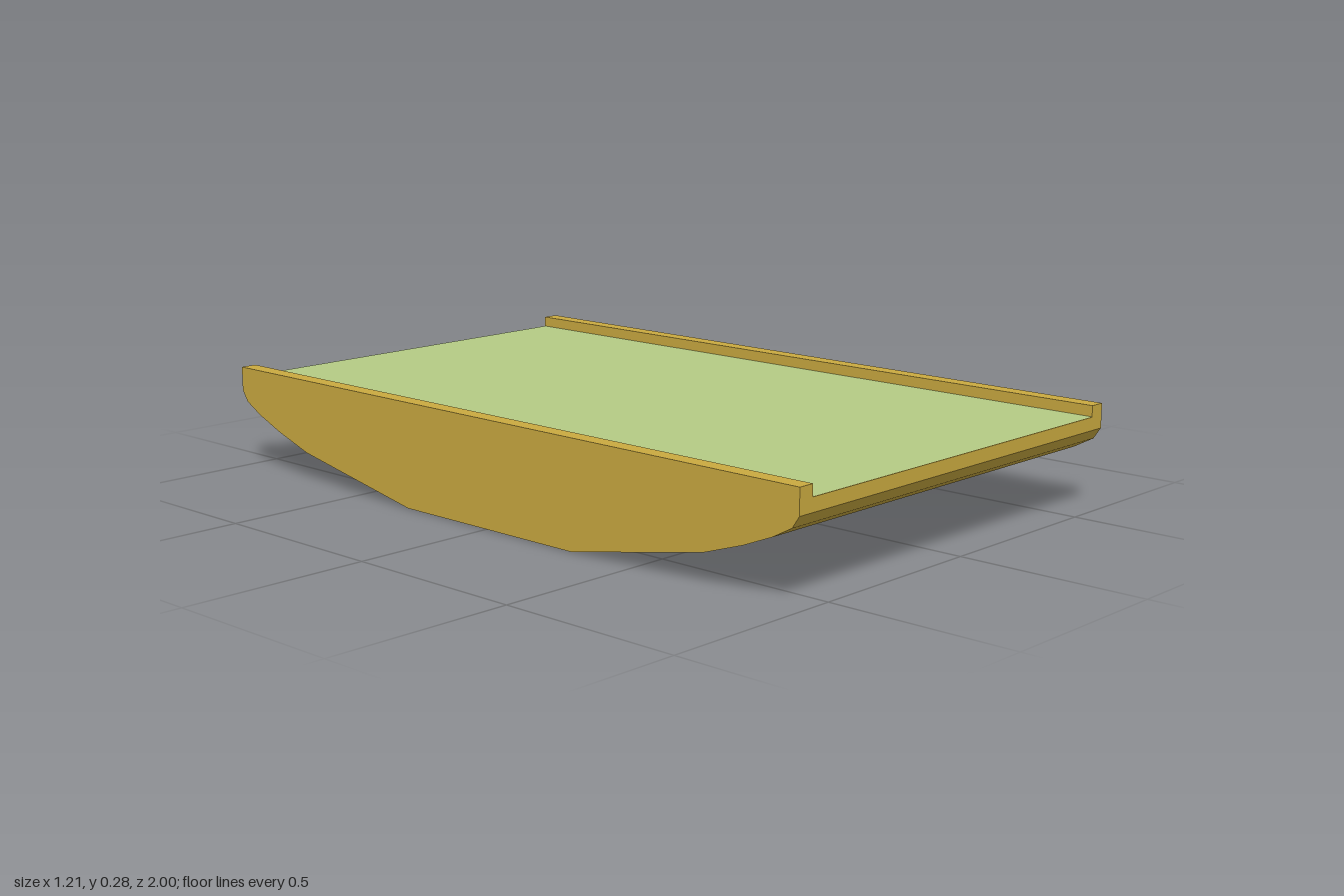
import * as THREE from 'three';

const HALF_WIDTH = 0.605, RAIL = 0.045, DECK_Y = 0.25, TOP_Y = 0.28;

export function createModel() {
  const model = new THREE.Group();
  const gold = new THREE.MeshStandardMaterial({ color: 0xcaaa40, flatShading: true });
  const green = new THREE.MeshStandardMaterial({ color: 0xb5cb84, flatShading: true });

  const add = (name, geometry, material, x = 0, y = 0) => {
    const mesh = new THREE.Mesh(geometry, material);
    mesh.name = name;
    mesh.position.set(x, y, 0);
    model.add(mesh);
  };

  // Hull: half profile (z, y) mirrored front to back, extruded across the width
  const half = [[0.3, 0], [0.72, 0.08], [0.84, 0.12], [0.925, 0.155], [0.98, 0.185], [1, 0.215], [1, DECK_Y]];
  const profile = [...half, ...half.map(([z, y]) => [-z, y]).reverse()];
  const shape = new THREE.Shape(profile.map(([z, y]) => new THREE.Vector2(z, y)));
  const hull = new THREE.ExtrudeGeometry(shape, { depth: 2 * HALF_WIDTH, bevelEnabled: false });
  hull.translate(0, 0, -HALF_WIDTH).rotateY(-Math.PI / 2);
  add('hull', hull, gold);

  // Deck surface between the rails
  const deck = new THREE.PlaneGeometry(2 * (HALF_WIDTH - RAIL), 2).rotateX(-Math.PI / 2);
  add('deck', deck, green, 0, DECK_Y + 0.001);

  // Raised rails along both long sides
  for (const [name, side] of [['leftRail', 1], ['rightRail', -1]]) {
    const rail = new THREE.BoxGeometry(RAIL, TOP_Y - DECK_Y, 2);
    add(name, rail, gold, side * (HALF_WIDTH - RAIL / 2), (TOP_Y + DECK_Y) / 2);
  }
  return model;
}
